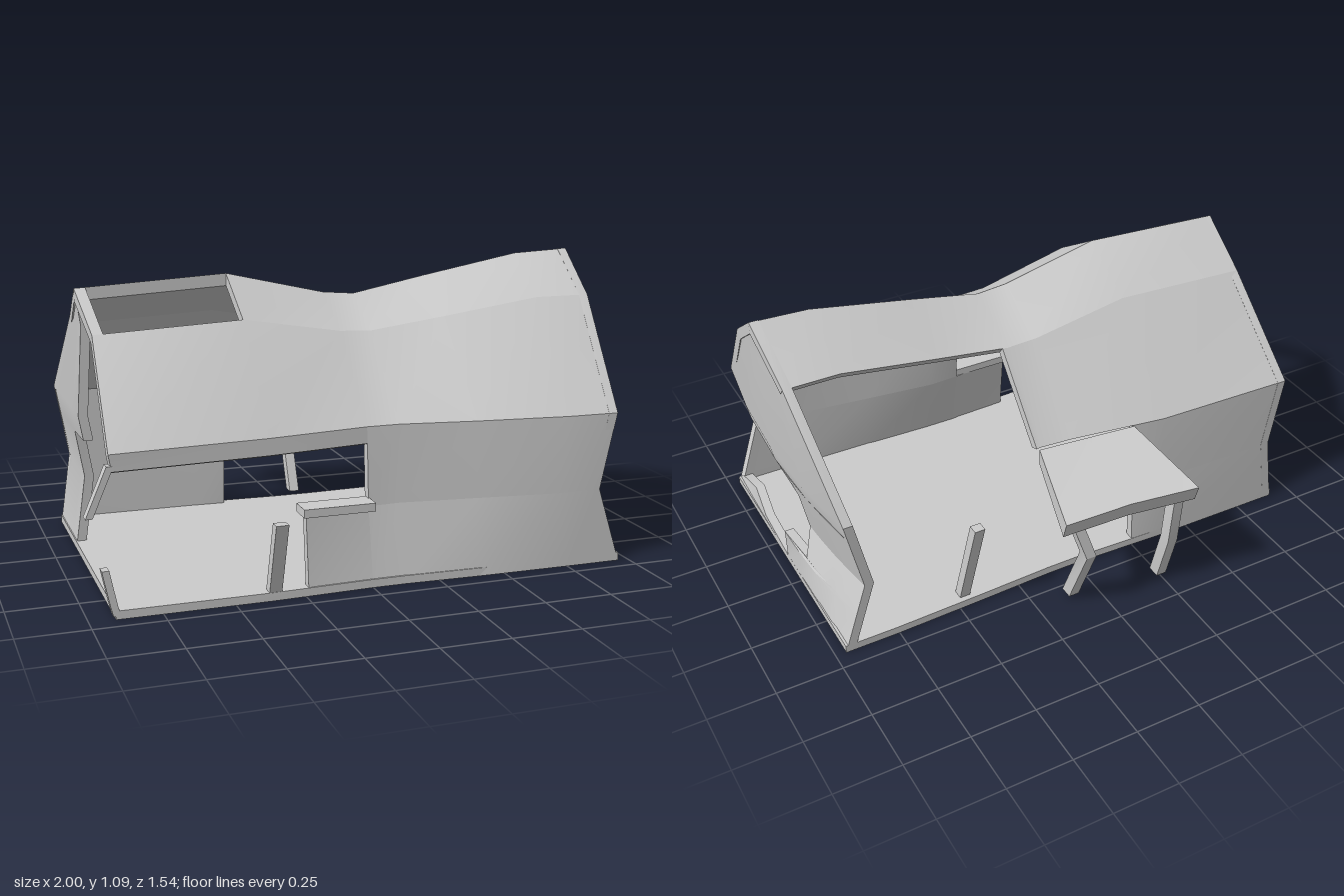
import * as THREE from 'three';
import { toCreasedNormals } from 'three/addons/utils/BufferGeometryUtils.js';

const material = new THREE.MeshStandardMaterial({ color: 0xcccccc, side: THREE.DoubleSide });
const lerp = THREE.MathUtils.lerp;
const clamp01 = (t) => THREE.MathUtils.clamp(t, 0, 1);

// piecewise linear lookup
function table(keys, values, t) {
  let i = 0;
  while (i < keys.length - 2 && t > keys[i + 1]) i++;
  return lerp(values[i], values[i + 1], clamp01((t - keys[i]) / (keys[i + 1] - keys[i])));
}

// sagging house profile along its length
const U0 = -0.92, U1 = 0.95;
const KNOTS = [-0.92, -0.37, 0, 0.12, 0.4, 0.75, 0.95];
const along = (values, u) => table(KNOTS, values, u);
const RIDGE_Y = [1.02, 1.05, 0.965, 0.955, 1.01, 1.08, 1.09];
const BREAK_Y = [0.89, 0.915, 0.85, 0.845, 0.885, 0.94, 0.94];
const FRONT = [
  [0.69, 0.69, 0.675, 0.675, 0.685, 0.69, 0.69],
  [0.69, 0.67, 0.62, 0.615, 0.65, 0.69, 0.69],
  [0.69, 0.65, 0.6, 0.6, 0.645, 0.685, 0.69],
  [0.35, 0.35, 0.32, 0.32, 0.335, 0.35, 0.35],
];
const BACK = [
  [-0.435, -0.43, -0.415, -0.415, -0.425, -0.435, -0.435],
  [-0.435, -0.425, -0.375, -0.37, -0.4, -0.435, -0.435],
  [-0.435, -0.42, -0.365, -0.355, -0.39, -0.435, -0.435],
  [-0.1, -0.1, -0.1, -0.1, -0.1, -0.1, -0.1],
];
const RIDGE_Z = 0.13;
const endRight = (y) => table([0, 0.28, 0.56, 0.94, 1.09], [0.96, 0.87, 0.93, 0.98, 1], y);
const endLeft = (y) => table([0, 0.28, 0.56, 0.89, 1.02], [-0.91, -0.87, -0.92, -0.9, -0.92], y);

// level: 0 ground, 1 mid wall, 2 eave, 3 roof break, 4 ridge
function shellPoint(u, level, side, inset) {
  const LEVELS = [0, 1, 2, 3, 4];
  const rows = (side > 0 ? FRONT : BACK).map((row) => along(row, u));
  let z = table(LEVELS, [...rows, RIDGE_Z], level);
  let y = table(LEVELS, [0, 0.28, 0.56, along(BREAK_Y, u), along(RIDGE_Y, u)], level);
  const x = u + (endRight(y) - U1) * clamp01((u - 0.4) / 0.55)
    + (endLeft(y) - U0) * clamp01((-u - 0.37) / 0.55);
  z -= side * inset * table(LEVELS, [0.035, 0.035, 0.035, 0.025, 0], level);
  y -= inset * table(LEVELS, [0, 0, 0.015, 0.03, 0.045], level);
  return [x, y, z];
}

// subdivided box whose vertices are moved by a rule of its 0..1 coordinates
function warpedBox(name, segments, rule) {
  const geometry = new THREE.BoxGeometry(1, 1, 1, ...segments);
  const p = geometry.attributes.position;
  for (let i = 0; i < p.count; i++) {
    p.setXYZ(i, ...rule(p.getX(i) + 0.5, p.getY(i) + 0.5, p.getZ(i) + 0.5));
  }
  const mesh = new THREE.Mesh(toCreasedNormals(geometry, 0.4), material);
  mesh.name = name;
  return mesh;
}

const span = (u0, u1) => [u0, ...KNOTS.filter((k) => k > u0 + 0.001 && k < u1 - 0.001), u1];

// thick piece of wall or roof
function panel(name, side, u0, u1, v0, v1) {
  const us = span(u0, u1), n = us.length - 1;
  return warpedBox(name, [n, 1, 1], (a, b, c) =>
    shellPoint(us[Math.round((side > 0 ? a : 1 - a) * n)], lerp(v0, v1, b), side, 1 - c));
}

// end wall piece from rows of [y, zBack, zFront]
function gable(name, side, rows) {
  const n = rows.length - 1;
  return warpedBox(name, [4, n, 1], (a, b, c) => {
    const [y, zBack, zFront] = rows[Math.round(b * n)];
    const z = lerp(zBack, zFront, side > 0 ? 1 - a : a);
    const bulge = 0.05 * (1 - ((z - 0.13) / 0.565) ** 2) * clamp01((0.9 - y) / 0.34) * clamp01(y / 0.15);
    const x = side > 0 ? endRight(y) + bulge : endLeft(y);
    return [x - side * 0.035 * (1 - c), y, z];
  });
}

// square bar through a few points, bottom to top
function beam(name, points, wx, wz = wx) {
  const n = points.length - 1;
  return warpedBox(name, [1, n, 1], (a, b, c) => {
    const [x, y, z] = points[Math.round(b * n)];
    return [x + (a - 0.5) * wx, y, z + (c - 0.5) * wz];
  });
}

export function createModel() {
  const house = new THREE.Group();
  house.name = 'ruinedHouse';

  // floor
  const us = span(U0, U1), n = us.length - 1;
  house.add(warpedBox('floor', [n, 1, 1], (a, b, c) => {
    const u = us[Math.round(a * n)];
    const x = shellPoint(u, 0, 1, 0)[0];
    return [x, b * 0.03, lerp(along(BACK[0], u), along(FRONT[0], u), c)];
  }));

  // front wall with its broken opening and window
  house.add(
    panel('frontWallLower', 1, 0, U1, 0, 1),
    panel('frontWallUpper', 1, 0, U1, 1, 2),
    panel('wallBelowWindow', 1, -0.24, 0, 0, 1),
    panel('frontLintel', 1, U0, 0, 1.79, 2),
  );
  const sill = new THREE.Mesh(new THREE.BoxGeometry(0.26, 0.03, 0.09), material);
  sill.name = 'windowSill';
  sill.position.set(-0.125, 0.293, 0.635);
  house.add(sill);

  // back wall, only its right part still standing
  house.add(
    panel('backWallLower', -1, U0, -0.25, 0, 1),
    panel('backWallUpper', -1, U0, -0.25, 1, 2),
  );

  // roof, open at one front corner and over most of the back
  house.add(
    panel('frontRoofLower', 1, U0, U1, 2, 3),
    panel('frontRoofUpper', 1, -0.37, U1, 3, 4),
    panel('roofRim', 1, U0, -0.88, 3, 4),
    panel('backRoofLower', -1, U0, 0.14, 2, 3),
    panel('backRoofUpper', -1, U0, U1, 3, 4),
  );

  // end walls
  house.add(
    gable('leftGableTop', 1, [[0.5, -0.435, 0.69], [0.56, -0.435, 0.69], [0.94, -0.1, 0.35], [1.09, 0.129, 0.131]]),
    gable('leftGableBack', 1, [[0, -0.435, 0.13], [0.15, -0.435, 0.13], [0.165, -0.435, -0.07],
      [0.28, -0.435, -0.04], [0.45, -0.435, -0.055], [0.5, -0.435, 0.15]]),
    gable('leftGableRubble', 1, [[0, 0.13, 0.69], [0.03, 0.13, 0.69], [0.05, 0.37, 0.66], [0.1, 0.49, 0.5]]),
    gable('rightGable', -1, [[0, -0.435, -0.08], [0.28, -0.435, -0.08], [0.46, -0.435, -0.07], [0.47, -0.435, 0.13],
      [0.56, -0.435, 0.13], [0.89, -0.1, 0.13], [1.02, 0.128, 0.13]]),
  );

  // sloping porch roof
  house.add(warpedBox('porchRoof', [2, 1, 1], (a, b, c) => {
    const sag = 0.015 * (1 - Math.abs(2 * a - 1));
    const outer = [lerp(-0.29, 0.22, a), lerp(0.505, 0.49, a), lerp(-0.77, -0.71, a) + sag];
    const inner = [lerp(-0.25, 0.13, a), 0.555, lerp(-0.4, -0.36, a)];
    const [x, y, z] = outer.map((o, i) => lerp(o, inner[i], c));
    return [x, y - 0.065 * (1 - b), z + 0.02 * (1 - b) * (1 - c)];
  }));

  // bent porch posts
  house.add(
    beam('porchPost', [[0.1, 0.01, -0.55], [0.1, 0.28, -0.665], [0.15, 0.45, -0.635]], 0.04, 0.05),
    beam('porchPost', [[-0.25, 0.01, -0.61], [-0.24, 0.23, -0.68], [-0.25, 0.45, -0.69]], 0.04, 0.05),
  );

  // leaning stumps and splintered corner
  house.add(
    beam('backStump', [[0.47, 0.01, -0.38], [0.445, 0.4, -0.475]], 0.04),
    beam('frontStump', [[-0.36, 0.02, 0.665], [-0.36, 0.29, 0.75]], 0.045, 0.04),
    beam('cornerStump', [[-0.905, 0.01, 0.67], [-0.915, 0.05, 0.67], [-0.94, 0.17, 0.67]], 0.025, 0.04),
    beam('eaveSplinter', [[-0.988, 0.35, 0.67], [-0.915, 0.52, 0.67]], 0.024, 0.04),
  );

  return house;
}
